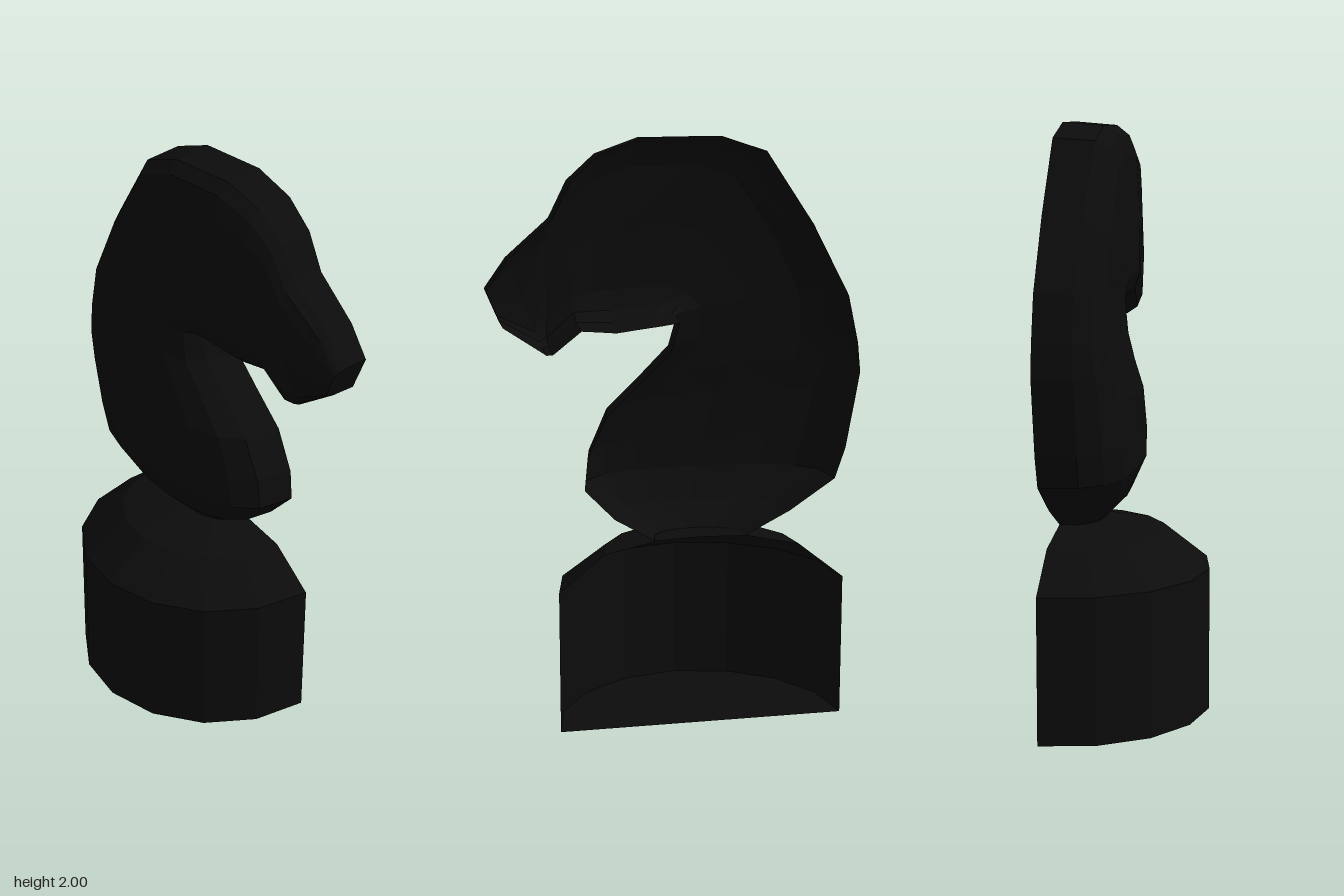
import * as THREE from 'three';

const CUT = -0.245; // the flat open plane of the half piece
const ARC = 8;      // facets across each half section

const black = new THREE.MeshStandardMaterial({ color: 0x0c0c0c, flatShading: true, side: THREE.DoubleSide });
black.name = 'black';

// Half a turned pedestal, open along the cut plane
function makeBase() {
  const profile = [[0, 0], [0.49, 0], [0.49, 0.495], [0.335, 0.62], [0.15, 0.66], [0, 0.665]]
    .map(([r, y]) => new THREE.Vector2(r, y));
  const base = new THREE.Mesh(new THREE.LatheGeometry(profile, ARC, -Math.PI / 2, Math.PI), black);
  base.name = 'base';
  base.position.set(-0.09, 0, CUT);
  return base;
}

// Half horse: sections run from the mane edge to the throat or jaw edge.
// Each row: mane x, y, throat x, y, depth, roundness (1 = ellipse, lower = boxier)
const sections = [
  [-0.235, 0.66, 0.075, 0.66, 0.125, 0.8],
  [-0.39, 0.74, 0.21, 0.74, 0.205, 0.75],
  [-0.545, 0.845, 0.31, 0.845, 0.25, 0.7],
  [-0.58, 0.95, 0.30, 0.95, 0.255, 0.7],
  [-0.61, 1.12, 0.235, 1.09, 0.25, 0.65],
  [-0.625, 1.21, 0.12, 1.20, 0.235, 0.62],
  [-0.615, 1.31, 0.02, 1.30, 0.225, 0.6],
  [-0.58, 1.47, -0.01, 1.395, 0.215, 0.55],
  [-0.455, 1.71, 0.0, 1.395, 0.213, 0.5],
  [-0.295, 1.95, 0.05, 1.388, 0.213, 0.45],
  [-0.145, 2.0, 0.12, 1.38, 0.213, 0.45],
  [0.105, 2.0, 0.2, 1.37, 0.205, 0.45],
  [0.25, 1.95, 0.255, 1.375, 0.195, 0.45],
  [0.345, 1.865, 0.315, 1.38, 0.182, 0.45],
  [0.405, 1.745, 0.41, 1.305, 0.172, 0.45],
  [0.55, 1.62, 0.43, 1.305, 0.15, 0.42],
  [0.62, 1.52, 0.57, 1.40, 0.13, 0.4],
];

function makeHorse() {
  const pos = [], index = [], row = ARC + 1;
  for (const [x0, y0, x1, y1, depth, p] of sections) {
    for (let k = 0; k <= ARC; k++) {
      const a = Math.PI * k / ARC;
      const c = Math.cos(a);
      const t = 0.5 - 0.5 * Math.sign(c) * Math.abs(c) ** p;
      const s = k === 0 || k === ARC ? 0 : Math.sin(a) ** p;
      pos.push(x0 + (x1 - x0) * t, y0 + (y1 - y0) * t, CUT + depth * s);
    }
  }
  for (let i = 0; i < sections.length - 1; i++) {
    for (let k = 0; k < ARC; k++) {
      const a = i * row + k, b = a + 1, d = a + row, c = d + 1;
      index.push(a, b, c, a, c, d);
    }
  }
  // Muzzle cap
  const last = (sections.length - 1) * row;
  for (let k = 1; k < ARC; k++) index.push(last, last + k, last + k + 1);

  const geo = new THREE.BufferGeometry();
  geo.setAttribute('position', new THREE.Float32BufferAttribute(pos, 3));
  geo.setIndex(index);
  geo.computeVertexNormals();
  const horse = new THREE.Mesh(geo, black);
  horse.name = 'horseHeadAndNeck';
  return horse;
}

export function createModel() {
  const model = new THREE.Group();
  model.name = 'halfChessKnight';
  model.add(makeBase(), makeHorse());
  return model;
}
